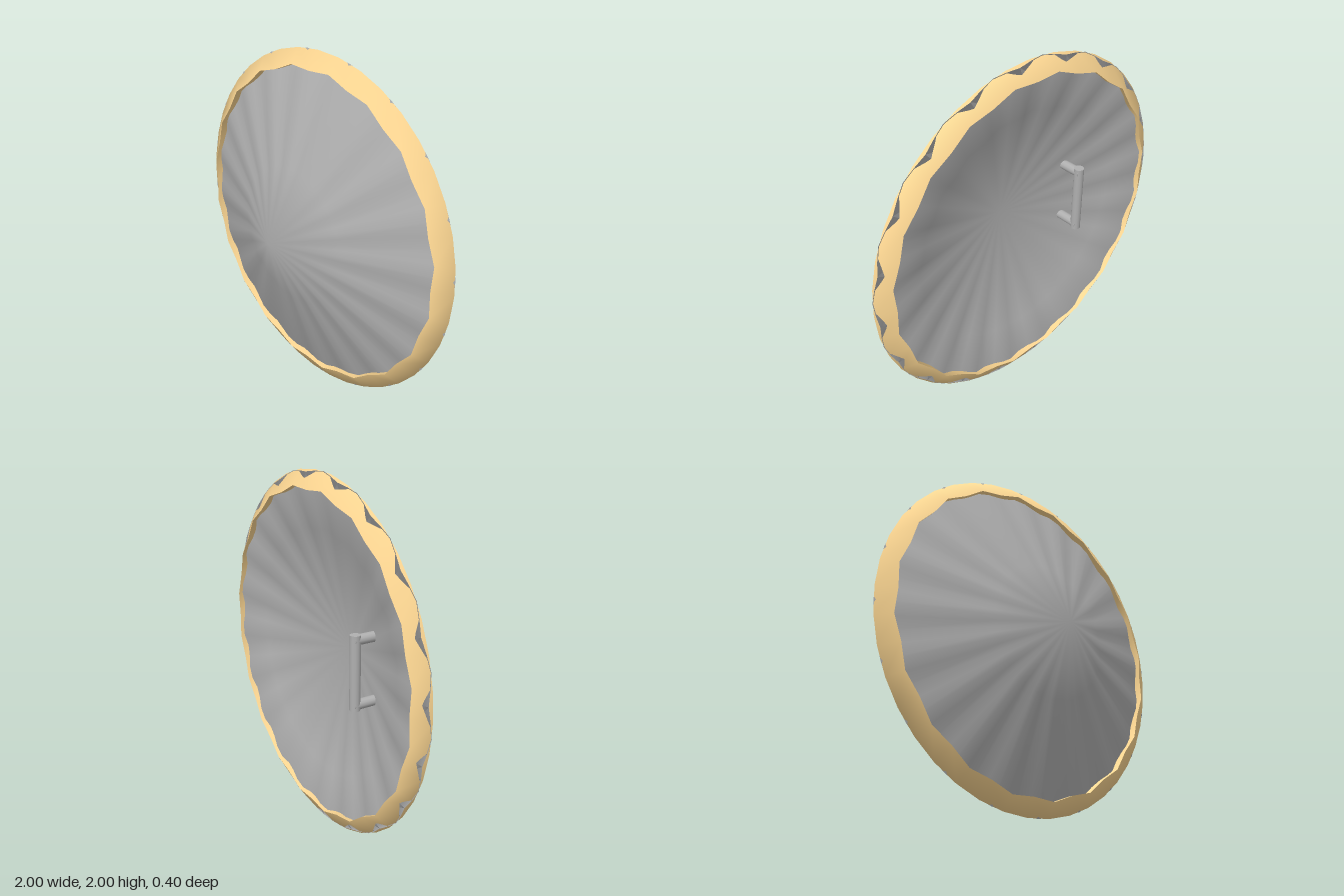
import * as THREE from 'three';
import { mergeVertices } from 'three/addons/utils/BufferGeometryUtils.js';

const grey = new THREE.MeshStandardMaterial({ color: 0xb0b0b0 });
const tan = new THREE.MeshStandardMaterial({ color: 0xffd994 });
const DEG = Math.PI / 180;

// Lathe about the z axis through (0, 1); profile points are [radius, z].
// move(vertex, segment) may shift each vertex before smooth normals are made.
function turned(name, profile, segments, phase, material, move) {
  let geo = new THREE.LatheGeometry(profile.map(p => new THREE.Vector2(...p)), segments, phase);
  const pos = geo.attributes.position;
  const v = new THREE.Vector3();
  for (let i = 0; i < pos.count; i++) {
    v.fromBufferAttribute(pos, i);
    move(v, Math.floor(i / profile.length));
    pos.setXYZ(i, v.x, v.y, v.z);
  }
  geo.deleteAttribute('uv');
  geo.deleteAttribute('normal');
  geo = mergeVertices(geo);
  geo.computeVertexNormals();
  geo.rotateX(Math.PI / 2).translate(0, 1, 0);
  const mesh = new THREE.Mesh(geo, material);
  mesh.name = name;
  return mesh;
}

function rod(name, radius, length, x, y, z) {
  const mesh = new THREE.Mesh(new THREE.CylinderGeometry(radius, radius, length, 12), grey);
  mesh.name = name;
  mesh.position.set(x, y, z);
  return mesh;
}

export function createModel() {
  const model = new THREE.Group();
  model.name = 'roundShield';

  // Body: conical shell with 20 radial pleats that grow towards the edge
  const pleat = (v, segment) => {
    const wave = Math.cos(segment * 90 * DEG);
    v.y += 0.007 * wave * Math.hypot(v.x, v.z);
    const s = 1 - 0.0075 * (1 - wave);
    v.x *= s;
    v.z *= s;
  };
  model.add(turned('shieldBody',
    [[0, 0.08], [0.7, -0.115], [0.93, -0.176], [1, -0.153], [0.4, 0.039], [0, 0.2]],
    80, 4.5 * DEG, grey, pleat));

  // Rim: wedge section whose inner corners alternate in radius
  const zigzag = (v, segment) => {
    if (Math.hypot(v.x, v.z) > 0.95) return;
    const s = segment % 2 ? 0.92 / 0.9 : 1;
    v.x *= s;
    v.z *= s;
  };
  const rim = new THREE.Group();
  rim.name = 'rim';
  rim.add(
    turned('rimOuter', [[0.9, -0.2], [1, -0.147], [0.9, -0.09]], 40, 0, tan, zigzag),
    turned('rimInner', [[0.9, -0.09], [0.9, -0.2]], 40, 0, tan, zigzag));
  model.add(rim);

  // Grip on the back: upright bar on two posts
  const handle = new THREE.Group();
  handle.name = 'handle';
  handle.add(rod('handleBar', 0.029, 0.41, -0.39, 1.03, -0.155));
  for (const side of [-1, 1]) {
    const post = rod('handlePost', 0.028, 0.16, -0.39, 1.03 + side * 0.177, -0.09);
    post.rotation.x = Math.PI / 2;
    handle.add(post);
  }
  model.add(handle);
  return model;
}
